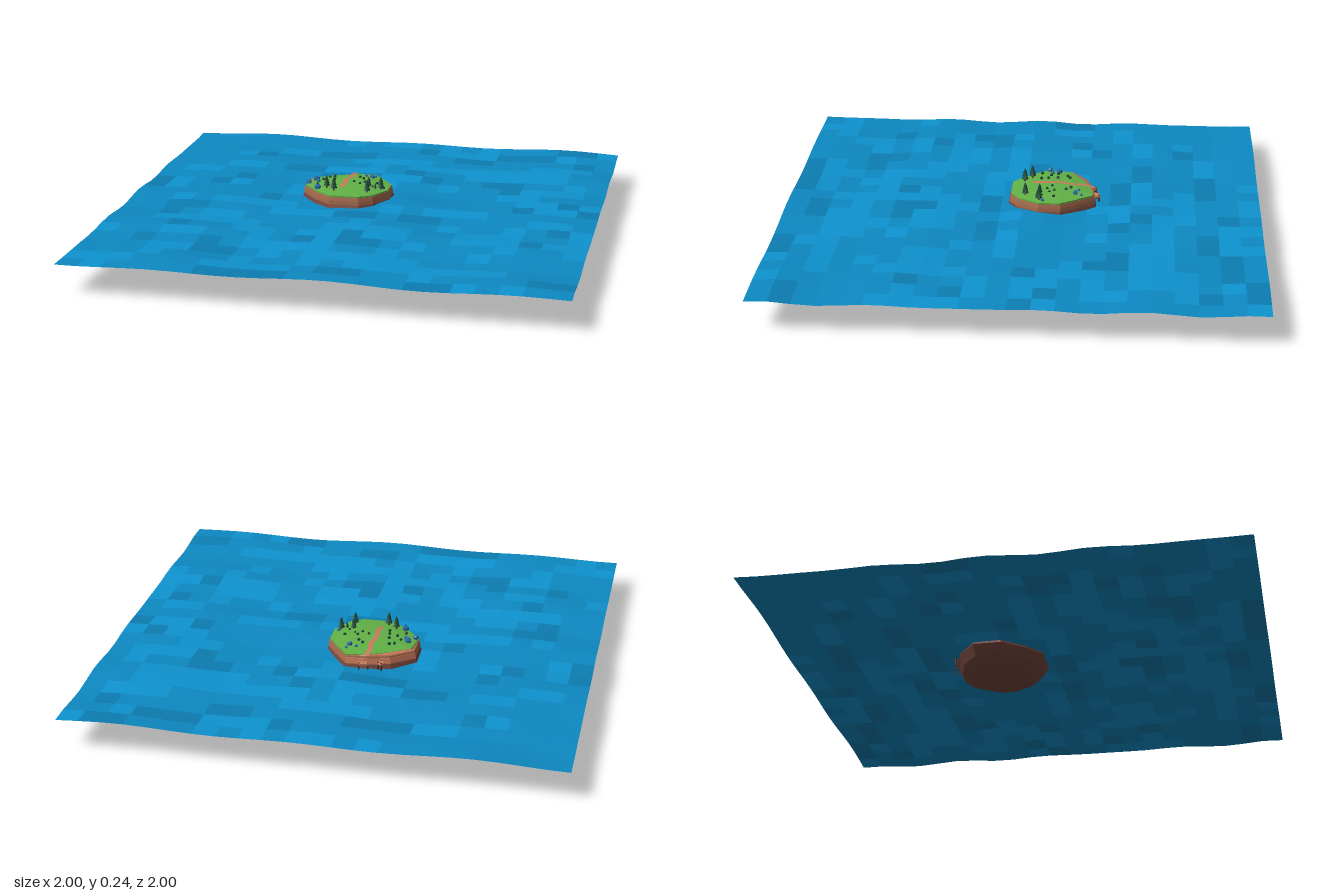
import * as THREE from 'three';

const mat = (name, color, double) => {
  const m = new THREE.MeshStandardMaterial({ color, flatShading: true });
  m.name = name;
  if (double) m.side = THREE.DoubleSide;
  return m;
};

// Island outline seen from above, as [x, z], and the point it grows from
const OUTLINE = [[0, -0.3], [0.06, -0.22], [0.1, -0.16], [0.1, -0.07], [0.05, 0.02], [-0.005, 0.055],
  [-0.13, 0.055], [-0.2, 0], [-0.27, -0.09], [-0.27, -0.2], [-0.18, -0.27], [-0.085, -0.295]];
const CX = -0.09, CZ = -0.12;

// The grass is pulled in along the back left, where a sandy slope shows
const GRASS = OUTLINE.map(([x, z], i) => {
  const k = i === 9 ? 0.9 : i === 10 ? 0.84 : i === 11 ? 0.93 : 0.97;
  return [CX + (x - CX) * k, CZ + (z - CZ) * k];
});

// Height of the grass dome
const groundY = (x, z) => 0.186 - 0.014 * Math.min(1, Math.hypot(x - CX, z - CZ) / 0.18) ** 2;

function geometryFrom(positions) {
  const g = new THREE.BufferGeometry();
  g.setAttribute('position', new THREE.Float32BufferAttribute(positions, 3));
  g.computeVertexNormals();
  return g;
}

// Skin rings of { outline, scale, y } from bottom to top, over all or some of the sides
function loft(rings, from = 0, to = OUTLINE.length) {
  const p = [];
  const at = (r, i) => {
    const [x, z] = r.outline[i % r.outline.length];
    return [CX + (x - CX) * r.scale, r.y, CZ + (z - CZ) * r.scale];
  };
  for (let k = 0; k < rings.length - 1; k++) {
    const a = rings[k], b = rings[k + 1];
    for (let i = from; i < to; i++) {
      if (a.scale > 0) p.push(...at(a, i), ...at(b, i), ...at(a, i + 1));
      if (b.scale > 0) p.push(...at(b, i), ...at(b, i + 1), ...at(a, i + 1));
    }
  }
  return geometryFrom(p);
}

export function createModel() {
  const model = new THREE.Group();
  model.name = 'islandInSea';
  const seaMats = [mat('seaBlue', 0x0d89c2, true), mat('seaLightBlue', 0x0e93d0, true), mat('seaDeepBlue', 0x0c7db2, true)];
  const grass = mat('grassGreen', 0x62b147);
  const sand = mat('pathClay', 0xcb7a5c, true);
  const cliff = mat('cliffBrown', 0xa5694c);
  const rock = mat('underRockBrown', 0x74453c);
  const leaf = mat('pineGreen', 0x1d4a35);
  const wood = mat('woodBrown', 0x5a3328);
  const stone = mat('boulderBlue', 0x2a6fa8);

  let seed = 11;
  const rnd = () => (seed = (seed * 16807) % 2147483647) / 2147483647;
  const add = (name, geometry, material, parent = model) => {
    const m = new THREE.Mesh(geometry, material);
    m.name = name;
    parent.add(m);
    return m;
  };

  // Sea: a faceted sheet of 22 x 22 tiles in three blues
  const N = 22, tiles = [[], [], []];
  const waveY = (x, z) => 0.122 + 0.005 * Math.sin(x * 9 + 1) + 0.004 * Math.sin(z * 13 + 2) + 0.003 * Math.sin(x * 5 - z * 17);
  const corner = (i, j) => {
    const x = -1 + 2 * i / N, z = -1 + 2 * j / N;
    return [x, waveY(x, z), z];
  };
  for (let j = 0; j < N; j++) {
    let shade = 0;
    for (let i = 0; i < N; i++) {
      // Neighbours in a row often share a shade
      if (rnd() < 0.7) {
        const r = rnd();
        shade = r < 0.55 ? 0 : r < 0.85 ? 1 : 2;
      }
      const a = corner(i, j), b = corner(i, j + 1), c = corner(i + 1, j + 1), d = corner(i + 1, j);
      tiles[shade].push(...a, ...b, ...c, ...a, ...c, ...d);
    }
  }
  const sea = geometryFrom(tiles.flat());
  let start = 0;
  tiles.forEach((t, i) => {
    sea.addGroup(start, t.length / 3, i);
    start += t.length / 3;
  });
  add('sea', sea, seaMats);

  // Island body: bowl-shaped rock, cliff band, sandy slope, domed grass
  const ring = (scale, y, outline = OUTLINE) => ({ outline, scale, y });
  add('underRock', loft([ring(0, 0), ring(0.42, 0.008), ring(0.74, 0.032), ring(0.95, 0.068), ring(1.07, 0.11), ring(1.02, 0.135)]), rock);
  add('cliff', loft([ring(1.02, 0.132), ring(1.01, 0.15), ring(0.99, 0.166), ring(0, 0.168)]), cliff);
  add('sandySlope', loft([ring(1.03, 0.134), ring(1.005, 0.158), ring(1, 0.172, GRASS)], 9, 12), sand);
  add('grass', loft([ring(1.01, 0.16, GRASS), ring(1.01, 0.172, GRASS), ring(0.6, 0.182, GRASS), ring(0, 0.187, GRASS)]), grass);

  // Clay path from the back shore to the middle
  const way = [[-0.085, -0.297], [-0.092, -0.25], [-0.085, -0.2], [-0.1, -0.14], [-0.092, -0.09], [-0.098, -0.035]];
  const strip = [];
  for (let i = 0; i < way.length - 1; i++) {
    const [[x0, z0], [x1, z1]] = [way[i], way[i + 1]];
    const w = 0.01, y0 = groundY(x0, z0) + 0.003, y1 = groundY(x1, z1) + 0.003;
    strip.push(x0 - w, y0, z0, x1 - w, y1, z1, x1 + w, y1, z1, x0 - w, y0, z0, x1 + w, y1, z1, x0 + w, y0, z0);
  }
  add('path', geometryFrom(strip), sand);

  // Two small jetties on posts at the back shore
  for (const [x, z, turn, w] of [[-0.075, -0.307, 0.25, 0.045], [-0.145, -0.293, -0.5, 0.025]]) {
    const jetty = new THREE.Group();
    jetty.name = 'jetty';
    jetty.position.set(x, 0, z);
    jetty.rotation.y = turn;
    add('deck', new THREE.BoxGeometry(w, 0.007, 0.026), sand, jetty).position.y = 0.142;
    for (const s of [-1, 1]) {
      add('post', new THREE.BoxGeometry(0.006, 0.065, 0.006), wood, jetty).position.set(s * (w / 2 - 0.004), 0.115, -0.008);
    }
    model.add(jetty);
  }

  // Pine trees
  const pines = [[-0.16, -0.03, 1], [-0.122, 0, 1.05], [0.02, -0.01, 1], [0.068, -0.07, 1], [0.015, -0.07, 0.85], [0.045, -0.06, 0.5], [-0.2, -0.03, 0.5]];
  for (const [x, z, s] of pines) {
    const pine = new THREE.Group();
    pine.name = 'pine';
    pine.position.set(x, groundY(x, z) - 0.002, z);
    pine.scale.setScalar(s);
    add('trunk', new THREE.CylinderGeometry(0.003, 0.004, 0.018, 5), wood, pine).position.y = 0.008;
    for (let k = 0; k < 3; k++) {
      add('foliage', new THREE.ConeGeometry(0.015 - k * 0.003, 0.023, 6), leaf, pine).position.y = 0.024 + k * 0.012;
    }
    model.add(pine);
  }

  // Low shrubs dotted over the grass
  const shrubs = [[-0.18, -0.18], [-0.18, -0.11], [-0.145, -0.1], [-0.2, -0.14], [-0.15, -0.14], [-0.16, -0.19], [-0.03, -0.18],
    [-0.015, -0.13], [0, -0.11], [-0.03, -0.1], [0.03, -0.08], [-0.05, -0.2], [-0.21, -0.07], [-0.06, -0.12], [0.04, -0.13], [-0.14, -0.07]];
  for (const [x, z] of shrubs) {
    const shrub = add('shrub', new THREE.IcosahedronGeometry(0.005 + rnd() * 0.003, 0), leaf);
    shrub.position.set(x, groundY(x, z) + 0.003, z);
  }

  // Blue boulders
  const boulders = [[-0.23, -0.142, 0.015], [-0.255, -0.1, 0.013], [-0.2, -0.03, 0.015], [0, -0.22, 0.012], [-0.03, -0.235, 0.008],
    [0.01, -0.245, 0.007], [-0.215, -0.115, 0.009], [0.075, -0.085, 0.009]];
  for (const [x, z, r] of boulders) {
    const boulder = add('boulder', new THREE.DodecahedronGeometry(r, 0), stone);
    boulder.position.set(x, groundY(x, z) + r * 0.4, z);
    boulder.rotation.set(rnd() * 3, rnd() * 3, 0);
    boulder.scale.y = 0.85;
  }

  return model;
}
